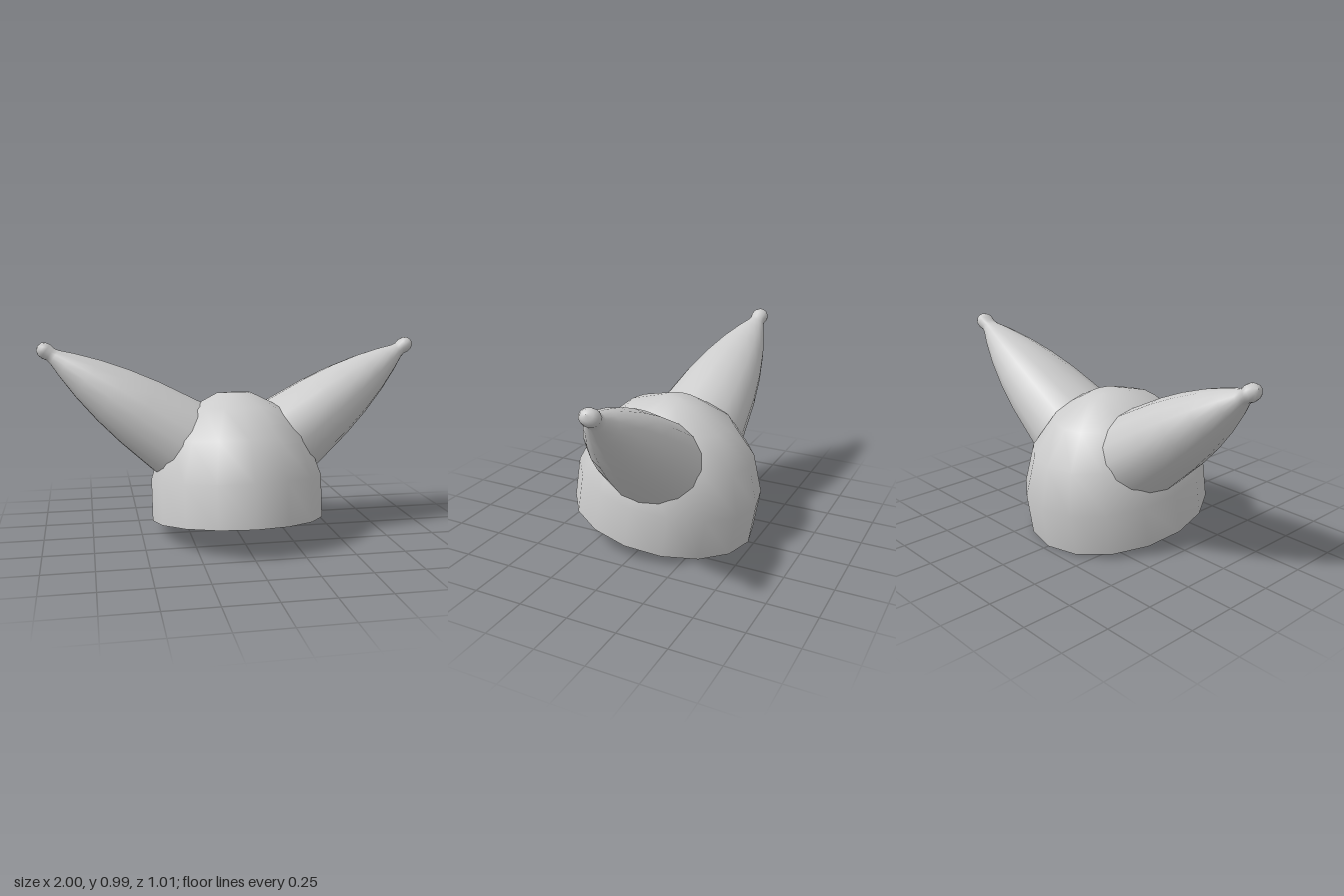
import * as THREE from 'three';

const material = new THREE.MeshStandardMaterial({ color: 0xcccccc, side: THREE.DoubleSide });
const SIDES = 16;

function lathe(name, profile) {
  const points = profile.map(([r, y]) => new THREE.Vector2(r, y));
  const mesh = new THREE.Mesh(new THREE.LatheGeometry(points, SIDES), material);
  mesh.name = name;
  return mesh;
}

// Open dome, narrower across than front to back, tipped backwards
function makeCap() {
  const profile = [[0.494, 0]];
  for (let i = 0; i < 4; i++) {
    const a = THREE.MathUtils.degToRad(11.25 + 22.5 * i);
    profile.push([0.504 * Math.cos(a), 0.109 + 0.556 * Math.sin(a)]);
  }
  profile.push([0, 0.658]);
  const cap = lathe('cap', profile);
  cap.scale.x = 0.9;
  cap.rotation.x = -0.158;
  cap.position.set(0, 0.0775, 0.0175);
  return cap;
}

// Tapering horn with a small ball tip, open where it enters the cap
function makeHorn(name, side) {
  const base = new THREE.Vector3(0.237 * side, 0.459, -0.05);
  const tip = new THREE.Vector3(0.96 * side, 0.955, -0.135);
  const axis = tip.clone().sub(base);
  const length = axis.length();
  axis.normalize();

  // radius, distance back from the centre of the ball tip
  const profile = [
    [0.222, length], [0.217, 0.8], [0.186, 0.568], [0.155, 0.41], [0.114, 0.257],
    [0.07, 0.13], [0.041, 0.06], [0.036, 0.035], [0.041, 0.008],
    [0.038, -0.014], [0.025, -0.034], [0, -0.042],
  ].map(([r, d]) => [r, length - d]);

  const horn = lathe(name, profile);
  const across = new THREE.Vector3().crossVectors(axis, new THREE.Vector3(0, 0, 1)).normalize();
  const depth = new THREE.Vector3().crossVectors(across, axis);
  horn.quaternion.setFromRotationMatrix(new THREE.Matrix4().makeBasis(across, axis, depth));
  horn.scale.z = 1.18;
  horn.position.copy(base);
  return horn;
}

export function createModel() {
  const model = new THREE.Group();
  model.name = 'hornedCap';
  model.add(makeCap(), makeHorn('leftHorn', 1), makeHorn('rightHorn', -1));
  return model;
}
